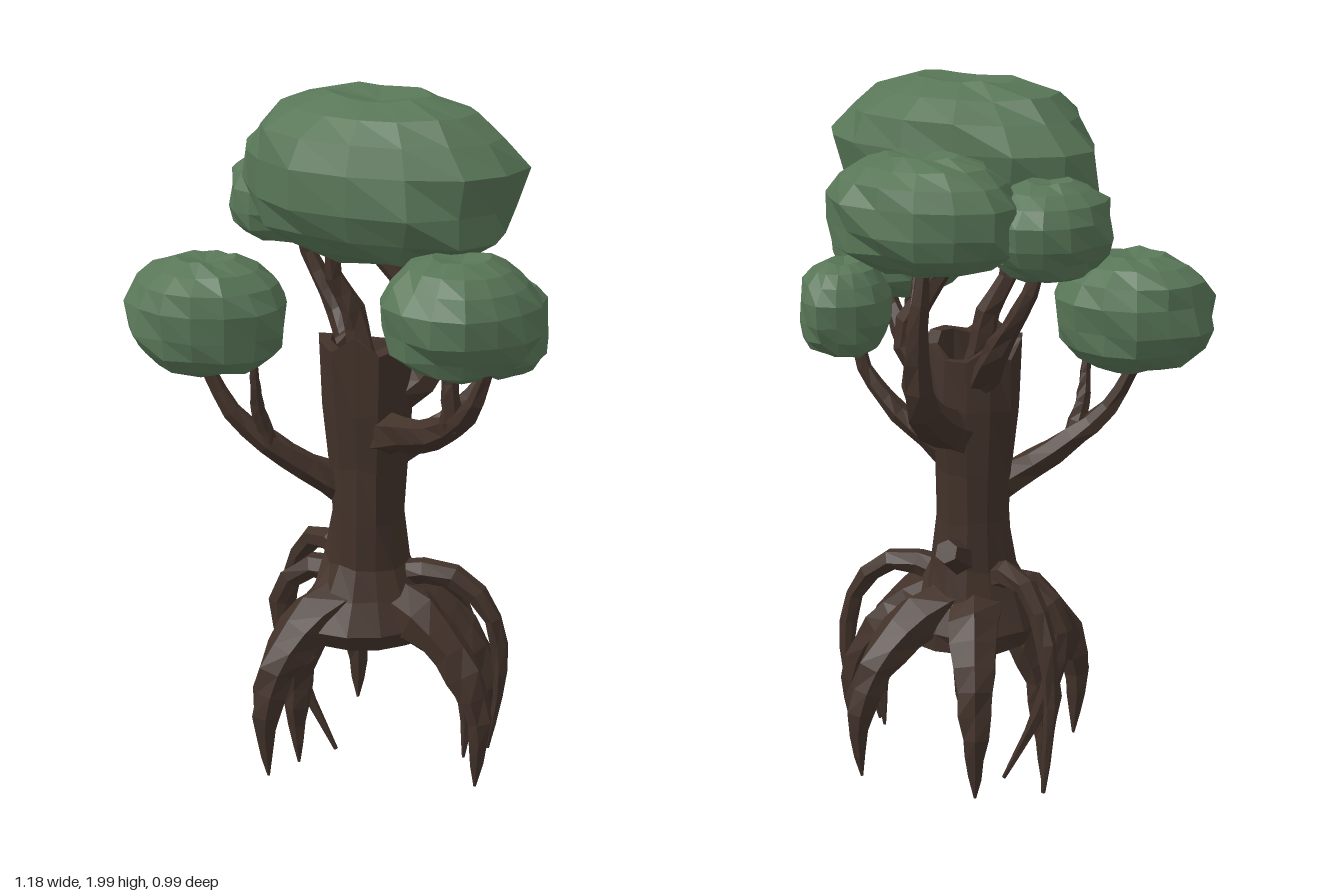
import * as THREE from 'three';

const bark = new THREE.MeshStandardMaterial({ name: 'dark brown bark', color: 0x42322a, flatShading: true });
const leaf = new THREE.MeshStandardMaterial({ name: 'muted green leaves', color: 0x587657, flatShading: true });

const vec = (p) => new THREE.Vector3(...p);
const axisAt = (y) => new THREE.Vector3(0.045, y, -0.02); // trunk axis

// Repeatable noise from 0 to 1, equal for equal positions so seams stay closed
function noise(x, y, z, seed) {
  const q = (n) => Math.round(n * 1000);
  const s = Math.sin(q(x) * 0.1271 + q(y) * 0.3117 + q(z) * 0.0747 + seed * 19.19) * 43758.5453;
  return s - Math.floor(s);
}

// Moves every vertex of a geometry by a rule
function reshape(geometry, rule) {
  const p = geometry.attributes.position;
  const v = new THREE.Vector3();
  for (let i = 0; i < p.count; i++) {
    v.fromBufferAttribute(p, i);
    rule(v, i);
    p.setXYZ(i, v.x, v.y, v.z);
  }
  geometry.computeVertexNormals();
  return geometry;
}

function addGroup(parent, name) {
  const group = new THREE.Group();
  group.name = name;
  parent.add(group);
  return group;
}

function addMesh(group, name, geometry, material) {
  const mesh = new THREE.Mesh(geometry, material);
  mesh.name = name;
  group.add(mesh);
}

// Faceted limb along a smooth path, narrowing from r0 to r1
function limb(points, r0, r1, power = 1) {
  const curve = new THREE.CatmullRomCurve3(points);
  const sides = 6, steps = 10;
  const centre = new THREE.Vector3();
  return reshape(new THREE.TubeGeometry(curve, steps, 1, sides), (v, i) => {
    const t = Math.floor(i / (sides + 1)) / steps;
    curve.getPointAt(t, centre);
    const wobble = 0.85 + 0.3 * noise((i % (sides + 1)) % sides, t, 0, 3);
    const r = r1 + (r0 - r1) * Math.pow(1 - t, power);
    v.sub(centre).multiplyScalar(r * wobble).add(centre);
  });
}

// Point between bend and tip, bowed away from the trunk
function bowed(bend, tip, amount) {
  const out = bend.clone().sub(axisAt(bend.y)).setLength(amount);
  return bend.clone().lerp(tip, 0.45).add(out);
}

// Lumpy leaf cluster, fuller below, with dimpled poles
function cluster([x, y, z], [rx, ry, rz], turn, seed) {
  const geometry = reshape(new THREE.SphereGeometry(1, 15, 9), (v) => {
    const n = 0.9 + 0.13 * noise(v.x, v.y, v.z, seed);
    const flat = Math.hypot(v.x, v.z) || 1;
    const widen = Math.pow(flat, v.y < 0 ? -0.25 : -0.05) * n;
    const pole = Math.abs(v.y) > 0.999 ? 0.84 : 1;
    const rise = Math.sign(v.y) * Math.pow(Math.abs(v.y), 0.85) * (0.5 + n * 0.5) * pole;
    v.set(v.x * widen * rx, rise * ry, v.z * widen * rz);
  });
  return geometry.rotateY(turn).translate(x, y, z);
}

export function createModel() {
  const tree = new THREE.Group();
  tree.name = 'tree';

  // Trunk with flared skirt and a broken, hollow top
  const profile = [
    [0, 0.47], [0.1, 0.47], [0.18, 0.45], [0.2, 0.5], [0.15, 0.58], [0.118, 0.67], [0.107, 0.8],
    [0.112, 0.95], [0.13, 1.12], [0.135, 1.31], [0.1, 1.31], [0.085, 1.18], [0, 1.1],
  ].map(([r, y]) => new THREE.Vector2(r, y));
  const trunk = reshape(new THREE.LatheGeometry(profile, 13), (v) => {
    if (Math.hypot(v.x, v.z) < 0.001) return;
    const a = Math.atan2(v.z, v.x);
    const k = 0.91 + 0.18 * noise(v.x, v.y, v.z, 1);
    if (v.y > 1.25) v.y += 0.025 * Math.sin(a * 5) + 0.02 * Math.sin(a) - 0.015;
    else if (v.y > 0.5) v.y += 0.03 * (noise(v.x, v.y, v.z, 2) - 0.5);
    v.x *= k;
    v.z *= k;
  });
  addMesh(tree, 'trunk', trunk.translate(0.045, 0, -0.02), bark);

  // Stilt roots: tip and base thickness
  const roots = addGroup(tree, 'roots');
  [
    [[-0.17, 0.07, 0.23], 0.09], [[-0.15, 0.01, 0.02], 0.085], [[0.4, 0.07, 0.12], 0.085],
    [[0.38, 0.1, -0.09], 0.08], [[0.26, 0.1, -0.32], 0.085], [[-0.07, 0.08, -0.3], 0.09],
    [[0.34, 0.1, 0.02], 0.055],
  ].forEach(([end, r]) => {
    const tip = vec(end);
    const at = (k, y) => axisAt(y).lerp(tip.clone().setY(y), k);
    const path = [at(0.15, 0.56), at(0.5, 0.52), at(0.84, 0.42), at(1.02, 0.27), tip];
    addMesh(roots, 'root', limb(path, r, 0.004, 0.75), bark);
  });

  // Thin roots that arch out and hang: knee and tip
  [
    [[0.4, 0.53, -0.03], [0.39, 0.1, -0.06]],
    [[-0.22, 0.56, -0.18], [-0.24, 0.09, -0.22]],
    [[-0.22, 0.5, -0.03], [-0.06, 0.03, -0.05]],
  ].map((pair) => pair.map(vec)).forEach(([knee, tip]) => {
    const shoulder = axisAt(knee.y).lerp(knee, 0.65).setY(knee.y + 0.11);
    const path = [axisAt(0.6), shoulder, knee, bowed(knee, tip, 0.03), tip];
    addMesh(roots, 'airRoot', limb(path, 0.042, 0.006, 0.8), bark);
  });

  // Branches: height on the trunk, bend, tip, thickness, and a twig tip where one forks
  const branches = addGroup(tree, 'branches');
  [
    ['leftBranch', 0.84, [-0.2, 1.01, 0.09], [-0.39, 1.28, 0.13], 0.055, [-0.22, 1.27, 0.16]],
    ['frontRightBranch', 1.03, [0.36, 1.18, 0.28], [0.48, 1.42, 0.35], 0.065, [0.33, 1.43, 0.28]],
    ['rightBranch', 0.92, [0.24, 1.07, -0.05], [0.38, 1.3, -0.05], 0.045],
    ['upperRightBranch', 1.08, [0.24, 1.27, -0.02], [0.04, 1.6, 0.03], 0.06],
    ['backBranch', 1.02, [0.08, 1.17, -0.29], [0.05, 1.62, -0.33], 0.07, [0.14, 1.6, -0.17]],
    ['backLeftBranch', 1.1, [-0.07, 1.3, -0.16], [-0.22, 1.6, -0.18], 0.05],
    ['centreBranch', 1.12, [0, 1.38, -0.02], [-0.03, 1.63, 0.03], 0.05],
  ].forEach(([name, y, elbow, end, r, twigEnd]) => {
    const bend = vec(elbow), tip = vec(end);
    const group = addGroup(branches, name);
    const path = [axisAt(y), bend, bowed(bend, tip, 0.035), tip];
    addMesh(group, 'branch', limb(path, r, 0.014), bark);
    if (twigEnd) {
      const twigTip = vec(twigEnd);
      const twig = [bend, bowed(bend, twigTip, 0.015), twigTip];
      addMesh(group, 'twig', limb(twig, r * 0.5, 0.01), bark);
    }
  });

  // Broken stub on the back of the trunk
  const stub = new THREE.CylinderGeometry(0.033, 0.055, 0.15, 6);
  addMesh(tree, 'brokenStub', stub.rotateX(-1.1).translate(0.045, 0.72, -0.15), bark);

  // Foliage: centre, radii, turn about y
  const foliage = addGroup(tree, 'foliage');
  [
    ['topCluster', [0.1, 1.78, 0.07], [0.41, 0.23, 0.275], -0.2],
    ['backCluster', [0.07, 1.7, -0.3], [0.28, 0.16, 0.2], -0.15],
    ['backLeftCluster', [-0.23, 1.655, -0.17], [0.155, 0.135, 0.19], -0.4],
    ['leftCluster', [-0.36, 1.385, 0.135], [0.23, 0.165, 0.2], 0],
    ['frontRightCluster', [0.38, 1.49, 0.29], [0.21, 0.16, 0.2], 0.2],
    ['rightCluster', [0.41, 1.365, -0.05], [0.13, 0.14, 0.155], 0],
  ].forEach(([name, centre, radii, turn], i) =>
    addMesh(foliage, name, cluster(centre, radii, turn, i + 5), leaf));

  return tree;
}
